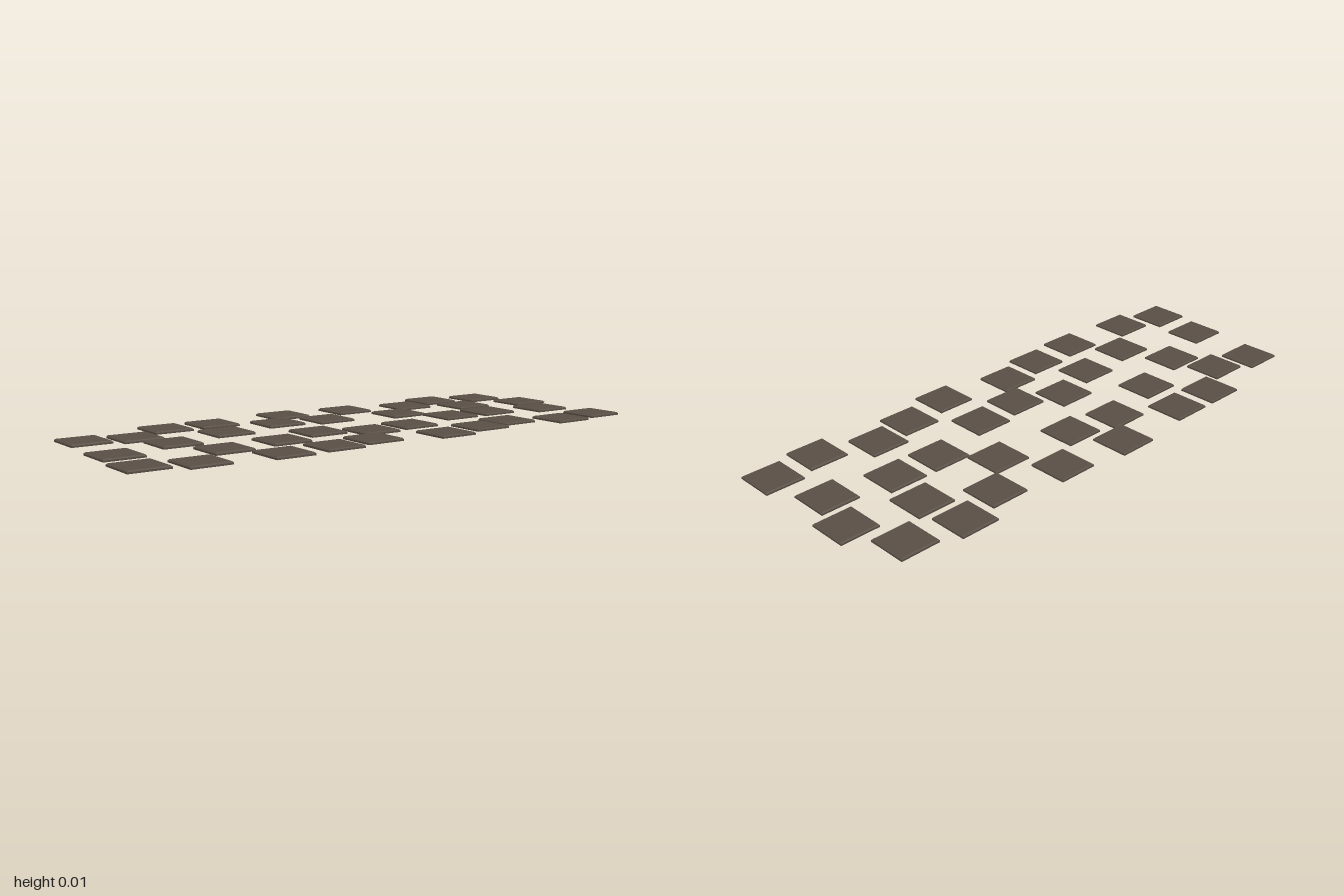
import * as THREE from 'three';

const SIZE = 0.144, HEIGHT = 0.01, BEVEL = 0.004;

// Thin square slab whose upper rim is chamfered
function slabGeometry() {
  const box = new THREE.BoxGeometry(SIZE, HEIGHT, SIZE, 1, 2, 1);
  box.translate(0, HEIGHT / 2, 0);
  const p = box.attributes.position;
  const inset = 1 - (2 * BEVEL) / SIZE;
  for (let i = 0; i < p.count; i++) {
    const y = p.getY(i);
    if (y > HEIGHT * 0.9) p.setXYZ(i, p.getX(i) * inset, HEIGHT, p.getZ(i) * inset);
    else if (y > HEIGHT * 0.1) p.setY(i, HEIGHT - BEVEL);
  }
  const flat = box.toNonIndexed();
  flat.computeVertexNormals();
  return flat;
}

// Slab centres [x, z], from the back to the front
const CENTRES = [
  [-0.283, -0.85], [-0.095, -0.926], [0.077, -0.872], [0.292, -0.928],
  [0.317, -0.741], [-0.32, -0.648], [-0.146, -0.673], [0.029, -0.641],
  [0.243, -0.543], [-0.262, -0.472], [0.029, -0.458], [-0.12, -0.328],
  [0.282, -0.378], [-0.304, -0.212], [0.108, -0.2], [0.323, -0.186],
  [-0.161, -0.029], [-0.33, 0.053], [0.129, -0.014], [0.277, 0.087],
  [-0.188, 0.166], [0.053, 0.156], [0.31, 0.267], [-0.304, 0.368],
  [-0.119, 0.415], [0.124, 0.347], [0.325, 0.467], [-0.304, 0.552],
  [0.156, 0.581], [-0.196, 0.717], [-0.034, 0.661], [0.307, 0.749],
  [-0.231, 0.886], [0.056, 0.907], [0.261, 0.926],
];

export function createModel() {
  const group = new THREE.Group();
  group.name = 'steppingStones';
  const stone = new THREE.MeshStandardMaterial({ color: 0x5a5046 });
  stone.name = 'brownStone';
  const geometry = slabGeometry();
  CENTRES.forEach(([x, z], i) => {
    const slab = new THREE.Mesh(geometry, stone);
    slab.name = `stoneSlab${i + 1}`;
    slab.position.set(x, 0, z);
    group.add(slab);
  });
  return group;
}
